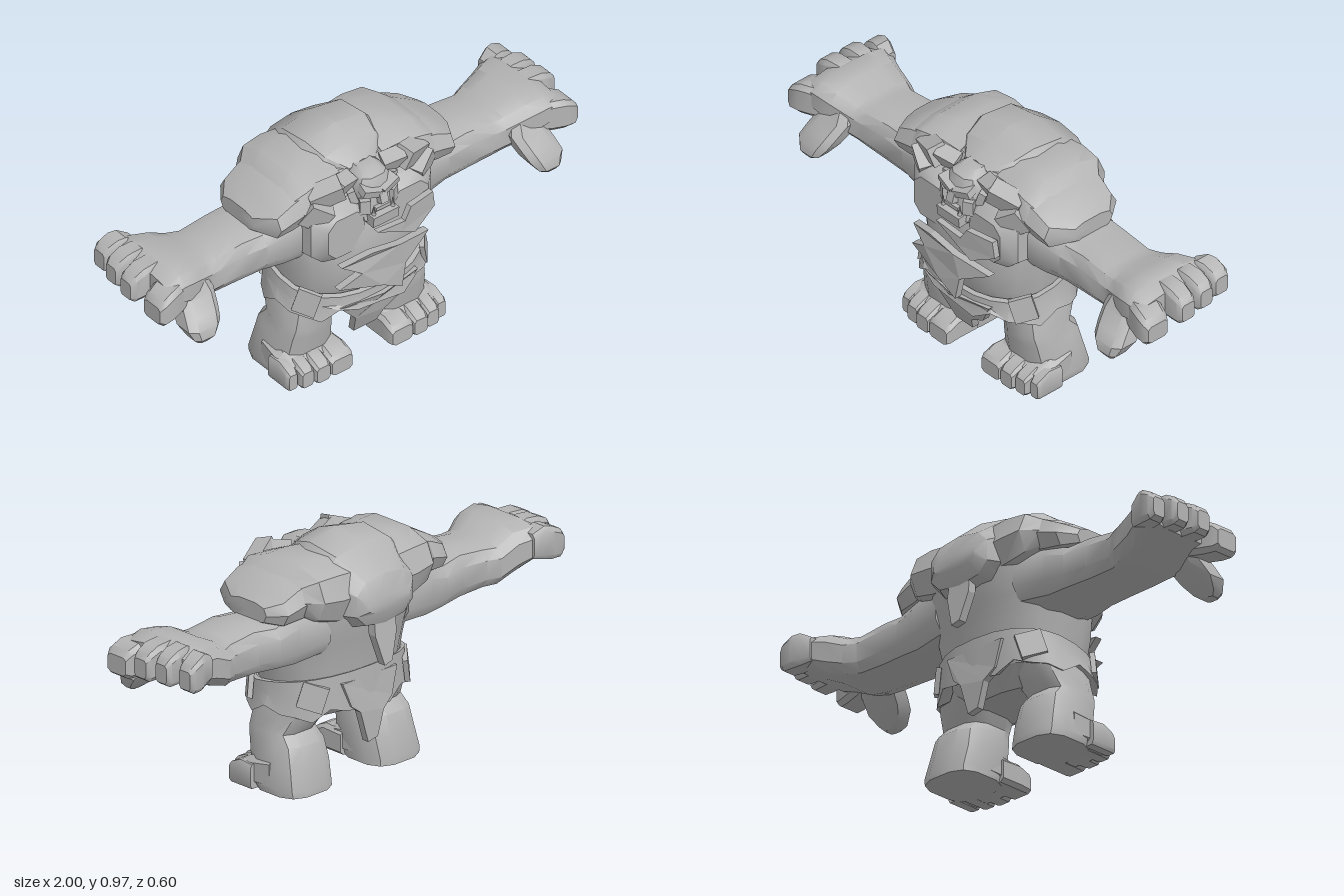
import * as THREE from 'three';
import { toCreasedNormals } from 'three/addons/utils/BufferGeometryUtils.js';

const stone = new THREE.MeshStandardMaterial({ color: 0xb4b4b4, side: THREE.DoubleSide });
stone.name = 'stone grey';

function add(parent, name, geo) {
  const mesh = new THREE.Mesh(geo, stone);
  mesh.name = name;
  parent.add(mesh);
  return mesh;
}

// Superellipse coordinate
const round = (c, power) => Math.sign(c) * Math.abs(c) ** (2 / power);

function surface(pos, index, crease) {
  const geo = new THREE.BufferGeometry();
  geo.setAttribute('position', new THREE.Float32BufferAttribute(pos, 3));
  geo.setIndex(index);
  return toCreasedNormals(geo, crease);
}

// Rings along an axis; each section is [position, uMin, uMax, vMin, vMax].
// Axis x uses u=y v=z, axis y uses u=z v=x, axis z uses u=x v=y.
function loft(axis, sections, { sides = 12, power = 2.7, crease = 0.6 } = {}) {
  const pos = [], index = [], a = 'xyz'.indexOf(axis);
  const put = (p, u, v) => {
    const q = [0, 0, 0];
    q[a] = p; q[(a + 1) % 3] = u; q[(a + 2) % 3] = v;
    pos.push(...q);
  };
  for (const [p, u0, u1, v0, v1] of sections)
    for (let j = 0; j < sides; j++) {
      const t = ((j + 0.5) / sides) * Math.PI * 2;
      put(p, (u0 + u1) / 2 + ((u1 - u0) / 2) * round(Math.cos(t), power), (v0 + v1) / 2 + ((v1 - v0) / 2) * round(Math.sin(t), power));
    }
  const last = sections.length - 1, centre = pos.length / 3;
  for (const s of [sections[0], sections[last]]) put(s[0], (s[1] + s[2]) / 2, (s[3] + s[4]) / 2);
  for (let j = 0; j < sides; j++) {
    const k = (j + 1) % sides;
    for (let i = 0; i < last; i++) {
      const r = i * sides, n = r + sides;
      index.push(r + j, r + k, n + k, r + j, n + k, n + j);
    }
    index.push(centre, k, j, centre + 1, last * sides + j, last * sides + k);
  }
  return surface(pos, index, crease);
}

// Ragged plate cut from an outline, bent by z = rule(x, y)
function plate(outline, depth, rule) {
  const geo = new THREE.ExtrudeGeometry(new THREE.Shape(outline.map(([x, y]) => new THREE.Vector2(x, y))), { depth, bevelEnabled: false });
  const p = geo.attributes.position;
  for (let i = 0; i < p.count; i++) p.setZ(i, p.getZ(i) + rule(p.getX(i), p.getY(i)));
  geo.computeVertexNormals();
  return geo;
}

// Tattered cloth ring, higher at the back, with a jagged hem
function skirt() {
  const n = 24, pos = [], index = [];
  for (let i = 0; i <= n; i++) {
    const t = (i / n) * Math.PI * 2, s = round(Math.sin(t), 2.4), c = round(Math.cos(t), 2.4);
    const hem = [0.31, 0.29, 0.335, 0.315][i % 4];
    pos.push(0.285 * s, 0.425 - 0.04 * c, 0.022 + 0.21 * c);
    pos.push(0.305 * s, 0.425 - 0.045 * c, 0.025 + 0.225 * c);
    pos.push(0.31 * s, 0.375 - 0.03 * c, 0.025 + 0.225 * c);
    pos.push(0.325 * s, hem, 0.03 + 0.23 * c);
    pos.push(0.27 * s, hem + 0.02, 0.02 + 0.18 * c);
  }
  for (let i = 0; i < n; i++)
    for (let k = 0; k < 4; k++) {
      const b = i * 5 + k;
      index.push(b, b + 1, b + 6, b, b + 6, b + 5);
    }
  return surface(pos, index, 0.4);
}

function shard(parent, name, size, at, turn) {
  const mesh = add(parent, name, new THREE.BoxGeometry(...size));
  mesh.position.set(...at);
  mesh.rotation.set(...turn);
}

function buildSide() {
  const side = new THREE.Group();
  // Arm and palm, slightly waisted at the forearm
  add(side, 'arm', loft('x', [
    [0.2, 0.54, 0.82, -0.2, 0.17], [0.34, 0.53, 0.78, -0.18, 0.14], [0.43, 0.54, 0.74, -0.17, 0.12],
    [0.53, 0.545, 0.75, -0.155, 0.12], [0.65, 0.55, 0.735, -0.155, 0.12], [0.7, 0.555, 0.735, -0.18, 0.125],
    [0.78, 0.58, 0.775, -0.19, 0.16], [0.86, 0.62, 0.78, -0.22, 0.175], [0.92, 0.64, 0.75, -0.22, 0.165]], { power: 3 }));
  // Fingers side by side: z range at the knuckle, outward fan, drop, tip x
  [[-0.225, -0.135, -0.025, 0, 0.965], [-0.138, -0.05, -0.012, -0.005, 0.99], [-0.053, 0.04, 0, 0, 1], [0.037, 0.165, 0.03, 0.03, 0.985]].forEach(([z0, z1, fan, drop, tip]) => {
    const ring = (x, y0, y1, f, inset) => [x, y0 - drop, y1 - drop, z0 + fan * f + inset, z1 + fan * f - inset];
    add(side, 'finger', loft('x', [
      ring(0.83, 0.65, 0.75, 0, 0.01), ring(0.875, 0.64, 0.775, 0.4, 0.002), ring(tip - 0.06, 0.635, 0.77, 0.8, 0),
      ring(tip - 0.02, 0.635, 0.75, 1, 0.004), ring(tip, 0.65, 0.725, 1, 0.015)], { sides: 8, power: 5 }));
  });
  add(side, 'thumb', loft('y', [
    [0.5, 0.19, 0.235, 0.79, 0.845], [0.52, 0.165, 0.25, 0.76, 0.865], [0.56, 0.12, 0.245, 0.73, 0.885],
    [0.6, 0.08, 0.215, 0.715, 0.875], [0.65, 0.03, 0.17, 0.7, 0.86], [0.7, 0.03, 0.14, 0.72, 0.84]], { sides: 8, power: 3.4 }));
  // Layered shoulder armour
  add(side, 'outerShoulderPad', loft('x', [
    [0.26, 0.72, 0.9, -0.21, 0.18], [0.34, 0.71, 0.88, -0.195, 0.18], [0.41, 0.71, 0.84, -0.185, 0.175], [0.46, 0.73, 0.81, -0.12, 0.08]], { power: 2.8, sides: 10 }));
  add(side, 'upperShoulderPad', loft('x', [
    [0.1, 0.66, 0.92, -0.25, 0.16], [0.19, 0.66, 0.93, -0.255, 0.17], [0.28, 0.69, 0.92, -0.245, 0.19], [0.335, 0.73, 0.88, -0.19, 0.17]], { power: 2.6, sides: 10 }));
  // Slabs across the upper chest
  add(side, 'chest', loft('z', [
    [0.05, 0, 0.31, 0.54, 0.82], [0.19, 0.02, 0.29, 0.55, 0.8], [0.235, 0.06, 0.24, 0.58, 0.76]], { sides: 8, power: 3.2 }));
  shard(side, 'collarShard', [0.13, 0.08, 0.07], [0.2, 0.85, 0.17], [0.3, 0.3, -0.4]);
  shard(side, 'collarShard', [0.1, 0.1, 0.06], [0.25, 0.78, 0.175], [0.2, 0.5, 0.5]);
  shard(side, 'collarShard', [0.09, 0.06, 0.06], [0.12, 0.86, 0.17], [0.4, -0.2, 0.3]);
  // Leg and foot
  add(side, 'leg', loft('y', [
    [0.005, -0.15, 0.1, 0.1, 0.35], [0.03, -0.15, 0.12, 0.1, 0.355], [0.11, -0.13, 0.13, 0.095, 0.345],
    [0.19, -0.11, 0.145, 0.105, 0.335], [0.23, -0.07, 0.15, 0.115, 0.325], [0.3, -0.11, 0.15, 0.08, 0.31],
    [0.4, -0.15, 0.17, 0.04, 0.28]], { power: 3 }));
  add(side, 'instep', loft('z', [
    [-0.02, 0.1, 0.35, 0.005, 0.15], [0.09, 0.095, 0.365, 0.005, 0.13], [0.15, 0.1, 0.36, 0.005, 0.095]], { sides: 10, power: 4 }));
  [[0.088, 0.197, 0.2], [0.193, 0.267, 0.2], [0.263, 0.327, 0.19], [0.323, 0.375, 0.17]].forEach(([x0, x1, z]) => {
    add(side, 'toe', loft('z', [
      [0.05, x0, x1, 0.005, 0.105], [z - 0.06, x0, x1, 0.005, 0.11], [z - 0.015, x0, x1, 0.005, 0.09], [z, x0 + 0.006, x1 - 0.006, 0.008, 0.075]], { sides: 8, power: 5 }));
  });
  // Torn cloth lying on the hip
  shard(side, 'hipRag', [0.09, 0.1, 0.02], [0.275, 0.37, 0.155], [-0.15, 0.85, 0.4]);
  shard(side, 'hipRag', [0.1, 0.1, 0.02], [0.24, 0.39, -0.14], [0.15, -0.8, 0.4]);
  // Face details
  shard(side, 'brow', [0.08, 0.03, 0.05], [0.04, 0.825, 0.235], [0.2, 0.2, 0.25]);
  shard(side, 'cheek', [0.04, 0.06, 0.05], [0.06, 0.765, 0.225], [0, 0.5, 0]);
  shard(side, 'ear', [0.03, 0.06, 0.04], [0.09, 0.8, 0.19], [0, 0.4, -0.3]);
  const tusk = add(side, 'tusk', new THREE.ConeGeometry(0.012, 0.05, 6));
  tusk.position.set(0.045, 0.745, 0.262);
  return side;
}

export function createModel() {
  const model = new THREE.Group();
  model.name = 'stoneBrute';
  // Barrel body
  add(model, 'torso', loft('y', [
    [0.27, -0.1, 0.14, -0.2, 0.2], [0.34, -0.17, 0.21, -0.27, 0.27], [0.42, -0.185, 0.235, -0.285, 0.285],
    [0.5, -0.2, 0.25, -0.295, 0.295], [0.6, -0.22, 0.25, -0.31, 0.31], [0.7, -0.25, 0.23, -0.32, 0.32],
    [0.8, -0.26, 0.19, -0.28, 0.28], [0.88, -0.22, 0.14, -0.2, 0.2]], { sides: 16, power: 2.3 }));
  // Hunched back plate
  add(model, 'backShell', loft('z', [
    [-0.302, -0.11, 0.11, 0.72, 0.78], [-0.275, -0.15, 0.15, 0.66, 0.86], [-0.16, -0.21, 0.21, 0.62, 0.95],
    [-0.02, -0.21, 0.21, 0.62, 0.972], [0.07, -0.18, 0.18, 0.64, 0.94], [0.14, -0.09, 0.09, 0.68, 0.895]], { sides: 10, power: 2.6 }));
  // Head
  add(model, 'head', loft('y', [
    [0.67, 0.12, 0.24, -0.05, 0.05], [0.7, 0.1, 0.265, -0.08, 0.08], [0.76, 0.08, 0.25, -0.085, 0.085],
    [0.83, 0.08, 0.245, -0.085, 0.085], [0.87, 0.08, 0.23, -0.065, 0.065], [0.89, 0.1, 0.19, -0.04, 0.04]], { sides: 10, power: 3 }));
  shard(model, 'nose', [0.035, 0.045, 0.04], [0, 0.79, 0.25], [-0.3, 0, 0]);
  shard(model, 'jaw', [0.12, 0.045, 0.05], [0, 0.71, 0.255], [0.1, 0, 0]);
  shard(model, 'mouth', [0.07, 0.015, 0.02], [0, 0.75, 0.255], [0, 0, 0]);
  // Ragged chest and belly plates
  add(model, 'chestPlate', plate([[-0.05, 0.67], [0.08, 0.66], [0.11, 0.71], [0.23, 0.71], [0.24, 0.64], [0.13, 0.58], [0.06, 0.62]], 0.025, (x) => 0.27 - 0.5 * x * x));
  add(model, 'bellyPlate', plate([[-0.08, 0.59], [0.05, 0.57], [0.21, 0.54], [0.08, 0.47], [0.06, 0.37], [-0.03, 0.42], [-0.21, 0.46], [-0.12, 0.51], [-0.2, 0.56]], 0.03, (x) => 0.272 - 0.8 * x * x));
  // Loincloth
  add(model, 'skirt', skirt());
  add(model, 'frontFlap', plate([[-0.18, 0.34], [0, 0.35], [0.18, 0.36], [0.12, 0.26], [0.05, 0.22], [0.03, 0.16], [-0.07, 0.15], [-0.09, 0.24]], 0.03, (x, y) => 0.15 + (y - 0.15) * 0.45 - x * x));
  add(model, 'backFlap', plate([[-0.14, 0.43], [0.14, 0.43], [0.1, 0.33], [0.06, 0.3], [0.02, 0.17], [-0.03, 0.18], [-0.06, 0.28], [-0.11, 0.32]], 0.03, (x, y) => -0.212 - (y - 0.3) * 0.03 + x * x));
  // Strap hanging from the back shell
  add(model, 'backStrap', plate([[-0.05, 0.74], [0.05, 0.74], [0.055, 0.62], [0.02, 0.5], [-0.02, 0.51], [-0.055, 0.62]], 0.035, (x, y) => -0.295 + (y - 0.5) * 0.12));

  const left = buildSide();
  left.name = 'leftSide';
  const right = buildSide();
  right.name = 'rightSide';
  right.scale.x = -1;
  model.add(left, right);
  return model;
}
